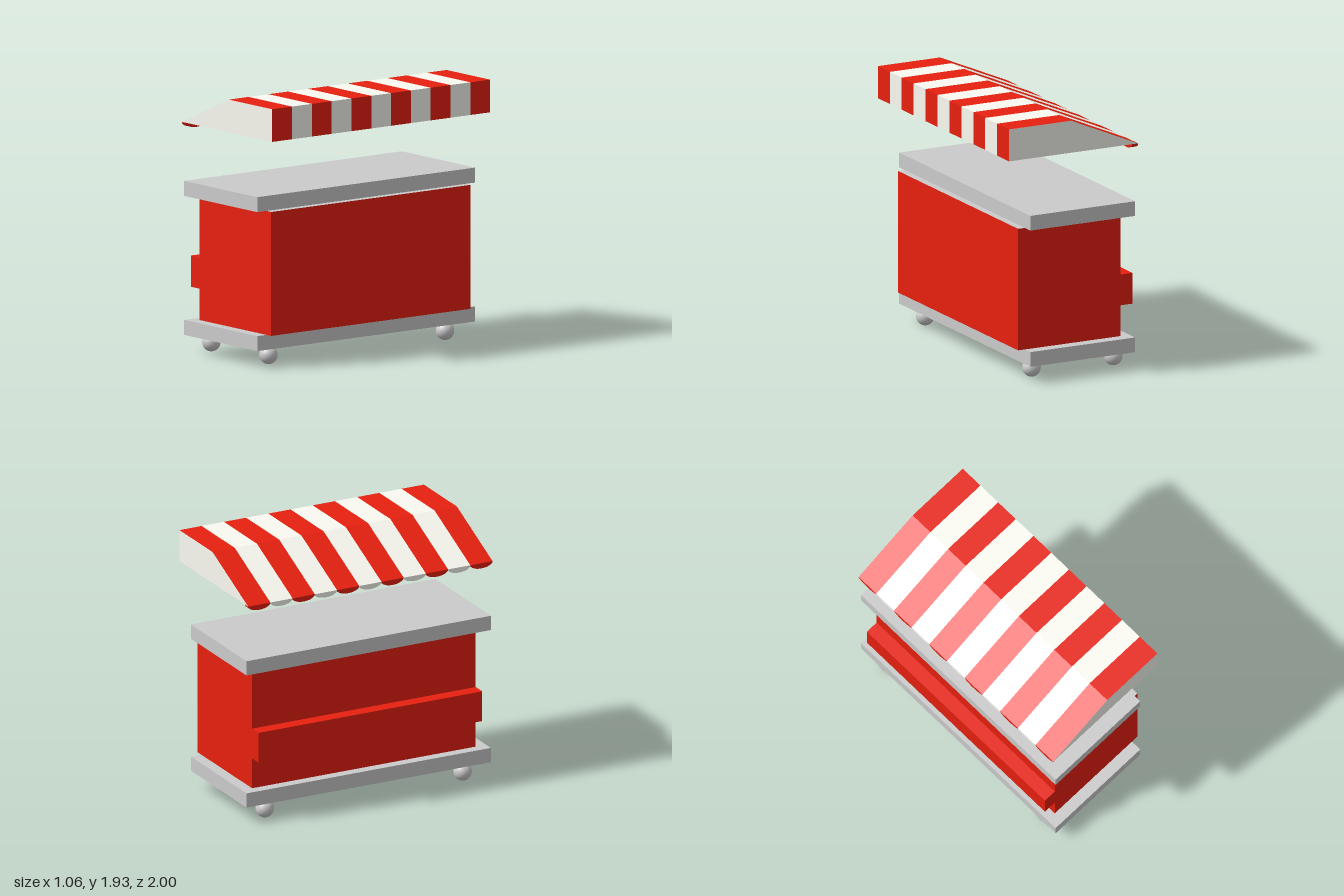
import * as THREE from 'three';

const RED = 0xe8200f, WHITE = 0xfbfbf3, GREY = 0xcccccc;
const STRIPES = 11, STRIPE_W = 2 / STRIPES;
// Awning outline in x, y: front lip, ridge, rear edge, rear hem
const ROOF = [[-0.53, 1.69], [0.02, 1.93], [0.53, 1.93], [0.53, 1.69]];

const mat = (color, side = THREE.FrontSide) => new THREE.MeshStandardMaterial({ color, side });

function add(parent, name, geometry, material, x = 0, y = 0, z = 0) {
  const mesh = new THREE.Mesh(geometry, material);
  mesh.name = name;
  mesh.position.set(x, y, z);
  parent.add(mesh);
  return mesh;
}

// Box given by its extents in x and y, centred on z
function slab(parent, name, x0, x1, y0, y1, depth, material) {
  return add(parent, name, new THREE.BoxGeometry(x1 - x0, y1 - y0, depth), material, (x0 + x1) / 2, (y0 + y1) / 2);
}

// One cloth band following the awning outline between z0 and z1
function stripeGeometry(z0, z1) {
  const pos = [];
  for (let i = 0; i < ROOF.length - 1; i++) {
    const [ax, ay] = ROOF[i], [bx, by] = ROOF[i + 1];
    pos.push(ax, ay, z1, bx, by, z1, bx, by, z0, ax, ay, z1, bx, by, z0, ax, ay, z0);
  }
  const geo = new THREE.BufferGeometry();
  geo.setAttribute('position', new THREE.Float32BufferAttribute(pos, 3));
  geo.computeVertexNormals();
  return geo;
}

export function createModel() {
  const model = new THREE.Group();
  model.name = 'marketCart';
  const red = mat(RED), grey = mat(GREY);
  const redCloth = mat(RED, THREE.DoubleSide), whiteCloth = mat(WHITE, THREE.DoubleSide);

  // Cart: base, cabinet with grey top and bottom, counter and ledge
  slab(model, 'base', -0.505, 0.355, 0.13, 0.24, 2, grey);
  slab(model, 'cabinet', -0.43, 0.41, 0.24, 1.15, 1.83, [red, red, grey, grey, red, red]);
  slab(model, 'counter', -0.505, 0.355, 1.15, 1.26, 2, grey);
  slab(model, 'ledge', -0.53, -0.43, 0.47, 0.7, 1.83, red);

  // Ball wheels
  const ball = new THREE.SphereGeometry(0.067, 32, 20);
  for (const x of [-0.427, 0.243])
    for (const z of [-0.81, 0.81]) add(model, 'wheel', ball, grey, x, 0.067, z);

  // Awning: striped bands, each ending in a rounded scallop
  const awning = new THREE.Group();
  awning.name = 'awning';
  model.add(awning);
  const half = new THREE.Shape();
  half.absellipse(0, 0, STRIPE_W / 2, 0.04, Math.PI, 2 * Math.PI);
  const scallop = new THREE.ExtrudeGeometry(half, { depth: 0.05, bevelEnabled: false, curveSegments: 20 });
  scallop.rotateY(Math.PI / 2);
  for (let i = 0; i < STRIPES; i++) {
    const z0 = -1 + i * STRIPE_W;
    const cloth = i % 2 ? whiteCloth : redCloth;
    add(awning, 'stripe', stripeGeometry(z0, z0 + STRIPE_W), cloth);
    add(awning, 'scallop', scallop, cloth, -0.53, 1.69, z0 + STRIPE_W / 2);
  }

  // Plain end panels, leaving the underside open
  const end = new THREE.ShapeGeometry(new THREE.Shape(ROOF.map(([x, y]) => new THREE.Vector2(x, y))));
  for (const z of [-1, 1]) add(awning, 'endPanel', end, whiteCloth, 0, 0, z);

  return model;
}
